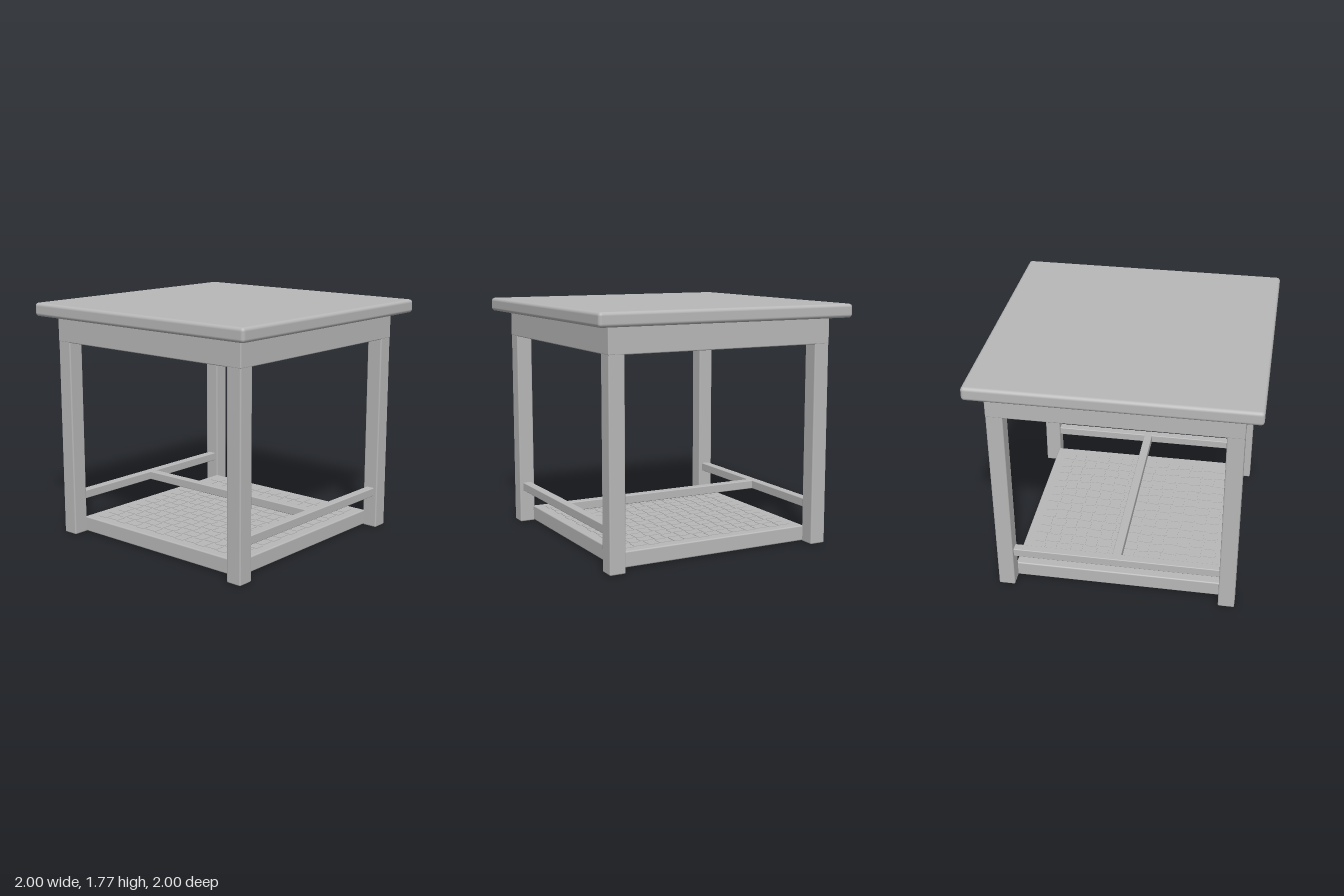
import * as THREE from 'three';
import { RoundedBoxGeometry } from 'three/addons/geometries/RoundedBoxGeometry.js';
import { mergeGeometries } from 'three/addons/utils/BufferGeometryUtils.js';

export function createModel() {
  const table = new THREE.Group();
  table.name = 'sideTable';
  const grey = new THREE.MeshStandardMaterial({ color: 0xb8b8b8 });
  grey.name = 'plain grey';

  // Softly rounded block given by its size, centre and edge radius
  function block(name, [w, h, d], [x, y, z], radius, parent = table) {
    const mesh = new THREE.Mesh(new RoundedBoxGeometry(w, h, d, 3, radius), grey);
    mesh.name = name;
    mesh.position.set(x, y, z);
    parent.add(mesh);
    return mesh;
  }

  // Table top
  block('tableTop', [2, 0.1, 2], [0, 1.72, 0], 0.025);

  // Four square legs
  for (const x of [-0.82, 0.82]) {
    for (const z of [-0.82, 0.82]) {
      block('leg', [0.12, 1.67, 0.12], [x, 0.835, z], 0.01);
    }
  }

  // Apron boards, flush with the outside of the legs
  for (const s of [-1, 1]) {
    block('apronAlongX', [1.762, 0.19, 0.04], [0, 1.575, s * 0.861], 0.008);
    block('apronAlongZ', [0.04, 0.19, 1.762], [s * 0.861, 1.575, 0], 0.008);
  }

  // H-shaped stretcher: a rail on each side and one across the middle
  for (const s of [-1, 1]) {
    block('sideStretcher', [0.065, 0.065, 1.56], [s * 0.82, 0.283, 0], 0.006);
  }
  block('crossStretcher', [1.6, 0.065, 0.065], [0, 0.283, 0], 0.006);

  // Low shelf between the legs
  block('shelf', [1.54, 0.115, 1.54], [0, 0.0625, 0], 0.01);

  // Woven panel: slats that alternate direction from cell to cell
  const cells = 14, pitch = 0.1, slats = [];
  for (let i = 0; i < cells; i++) {
    for (let j = 0; j < cells; j++) {
      const alongX = (i + j) % 2 === 0;
      const slat = new THREE.BoxGeometry(alongX ? pitch : 0.075, 0.005, alongX ? 0.075 : pitch);
      slat.translate((i + 0.5 - cells / 2) * pitch, 0.1215, (j + 0.5 - cells / 2) * pitch);
      slats.push(slat);
    }
  }
  const weave = new THREE.Mesh(mergeGeometries(slats), grey);
  weave.name = 'wovenPanel';
  table.add(weave);

  return table;
}
